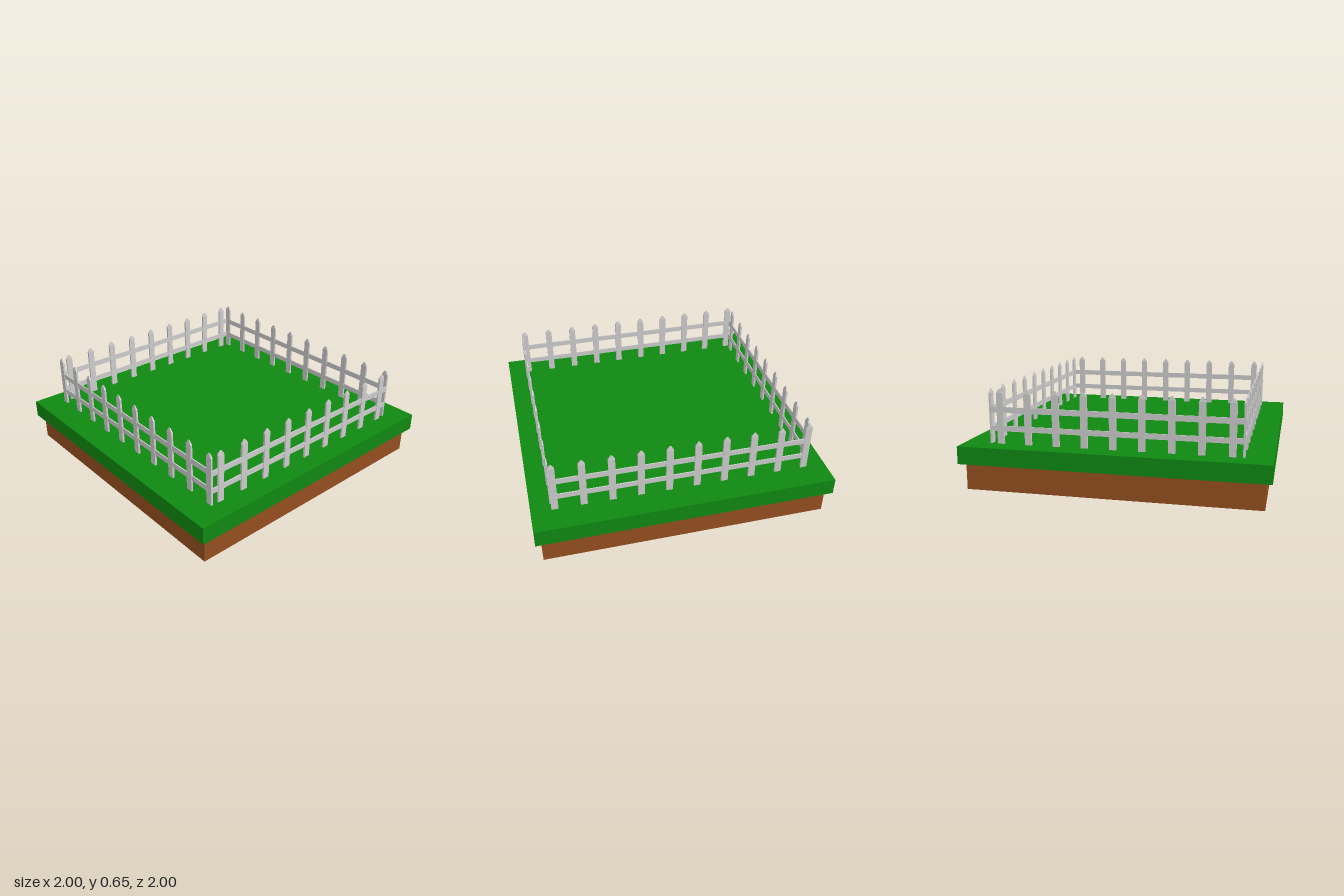
import * as THREE from 'three';

const GROUND = 0.295; // height of the grass surface
const HALF_X = 0.82, HALF_Z = 0.865; // fence lines
const STEP = 0.1877; // picket spacing

const grey = new THREE.MeshStandardMaterial({ color: 0xcccccc, flatShading: true });
const grass = new THREE.MeshStandardMaterial({ color: 0x0f8811 });
const soil = new THREE.MeshStandardMaterial({ color: 0x944e1f });

function box(name, w, h, d, y, material) {
  const mesh = new THREE.Mesh(new THREE.BoxGeometry(w, h, d), material);
  mesh.name = name;
  mesh.position.y = y;
  return mesh;
}

// Flat board whose upper end tapers to a blunt point
function picketGeometry() {
  const bottom = GROUND - 0.005, shoulder = 0.628, top = 0.655;
  const geometry = new THREE.BoxGeometry(0.045, 1, 0.014, 1, 2, 1);
  const p = geometry.attributes.position;
  for (let i = 0; i < p.count; i++) {
    const y = p.getY(i);
    if (y > 0.25) p.setXYZ(i, p.getX(i) * 0.25, top, p.getZ(i) * 0.35);
    else p.setY(i, y < -0.25 ? bottom : shoulder);
  }
  geometry.computeVertexNormals();
  return geometry;
}

// One straight run of fence along x
function fence(name, count, length, geometry) {
  const group = new THREE.Group();
  group.name = name;
  for (let i = 0; i < count; i++) {
    const picket = new THREE.Mesh(geometry, grey);
    picket.name = 'picket';
    picket.position.x = (i - (count - 1) / 2) * STEP;
    group.add(picket);
  }
  group.add(box('upperRail', length, 0.038, 0.008, 0.519, grey));
  group.add(box('lowerRail', length, 0.036, 0.008, 0.396, grey));
  return group;
}

export function createModel() {
  const model = new THREE.Group();
  model.name = 'fencedPlot';

  // Ground slabs
  model.add(box('soilBase', 1.92, 0.177, 1.92, 0.0885, soil));
  model.add(box('grassSlab', 2, 0.118, 2, 0.236, grass));

  // Four fence runs, mirrored in pairs
  const picket = picketGeometry();
  for (const s of [1, -1]) {
    const end = fence(s > 0 ? 'frontFence' : 'backFence', 9, HALF_X * 2 + 0.008, picket);
    end.position.z = s * HALF_Z;
    const side = fence(s > 0 ? 'leftFence' : 'rightFence', 10, HALF_Z * 2 + 0.008, picket);
    side.position.x = s * HALF_X;
    side.rotation.y = s * Math.PI / 2;
    model.add(end, side);
  }
  return model;
}
